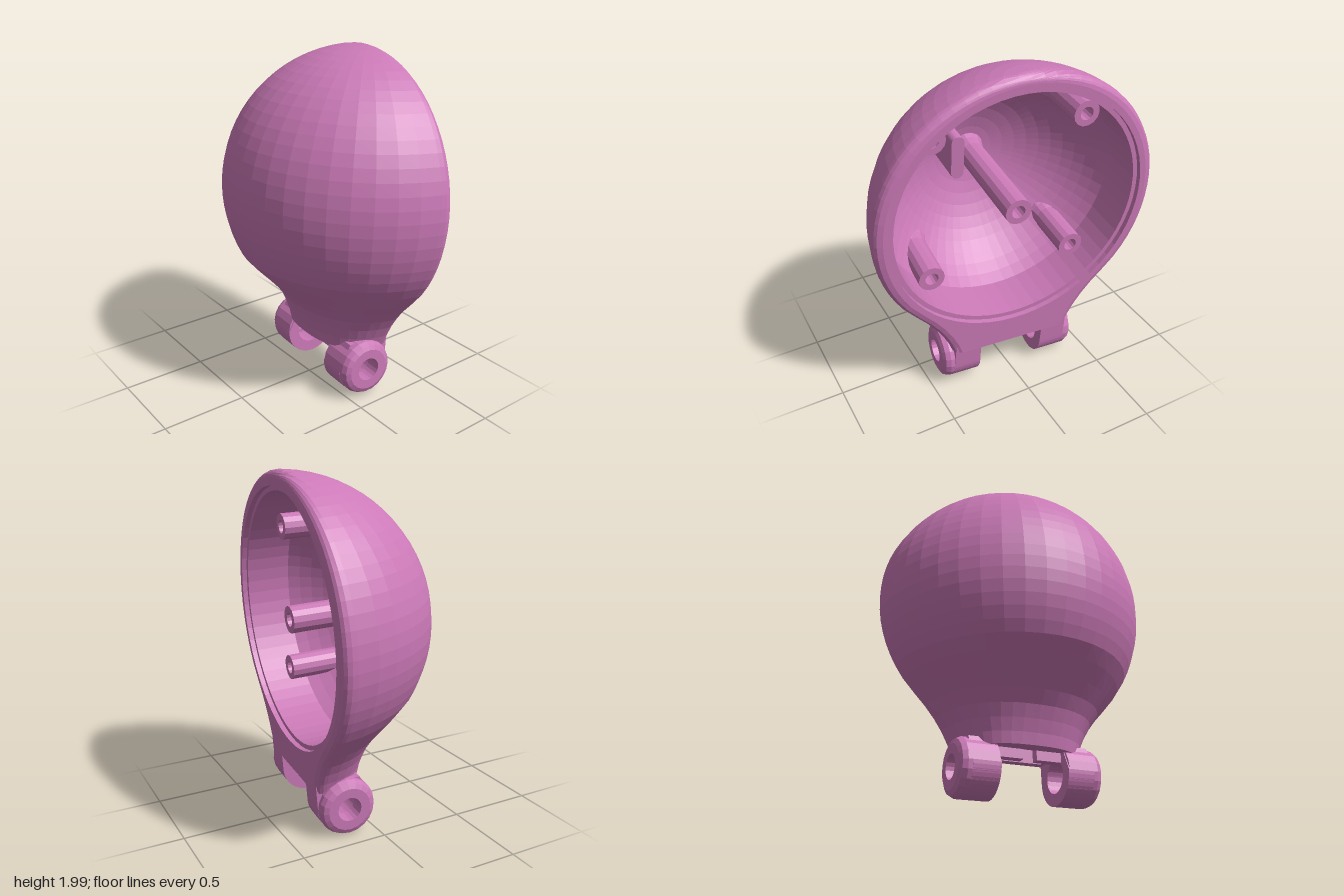
import * as THREE from 'three';

const R = 0.82, FILLET = 0.05, BOTTOM = -0.905, INNER = 0.768;
const pink = new THREE.MeshStandardMaterial({ color: 0xcc7ab8, flatShading: true, side: THREE.DoubleSide });
const pinkInside = new THREE.MeshStandardMaterial({ color: 0xcc7ab8, flatShading: true, side: THREE.BackSide });

function add(parent, name, geometry, material = pink) {
  const mesh = new THREE.Mesh(geometry, material);
  mesh.name = name;
  parent.add(mesh);
  return mesh;
}

// Horizontal sections of the dish and neck: height, half width, depth, squareness
function sectionList() {
  const rows = [{ y: R, w: 0, d: FILLET, e: 1, ny: 1 }];
  for (let a = 5; a <= 120; a += 5) {
    const t = THREE.MathUtils.degToRad(a), r = R * Math.sin(t);
    rows.push({ y: R * Math.cos(t), w: r, d: r, e: 1, ny: Math.cos(t) });
  }
  const neck = [[-0.48, 0.665, 0.645], [-0.56, 0.595, 0.56], [-0.63, 0.53, 0.49], [-0.7, 0.475, 0.435],
    [-0.77, 0.43, 0.4], [-0.84, 0.395, 0.372], [BOTTOM, 0.37, 0.355]];
  neck.forEach(([y, w, d], i) => rows.push({ y, w, d, e: 1 - 0.04 * i, ny: -0.6 * (1 - i / 6) }));
  return rows;
}

// One section, from the left rim around the back to the right rim, rim edge rounded
function sectionPoints({ y, w, d, e, ny }) {
  const half = [0, 0.012, 0.03, 0.06, 0.1];
  for (let k = 1; k <= 10; k++) half.push(0.1 + (Math.PI / 2 - 0.1) * k / 10);
  const angles = [...half, ...half.slice(0, -1).reverse().map(a => Math.PI - a)];
  return angles.map(a => {
    const c = Math.cos(a), s = Math.max(0, Math.sin(a));
    const x = -d * Math.pow(s < 1e-9 ? 0 : s, e);
    const z = w * Math.sign(c) * Math.pow(Math.abs(c), e);
    const k = Math.max(0, 1 + x / FILLET);
    const inset = FILLET * (1 - Math.sqrt(1 - k * k));
    const nz = Math.sqrt(Math.max(0, 1 - ny * ny)) * Math.sign(c);
    return new THREE.Vector3(x, y - inset * ny, z - inset * nz);
  });
}

function loft(rows) {
  const n = rows[0].length, index = [];
  for (let i = 0; i < rows.length - 1; i++)
    for (let j = 0; j < n - 1; j++) {
      const a = i * n + j, b = a + 1, c = a + n, d = c + 1;
      index.push(a, b, c, b, d, c);
    }
  const g = new THREE.BufferGeometry().setFromPoints(rows.flat());
  g.setIndex(index);
  g.computeVertexNormals();
  return g;
}

// Lathe whose axis lies along x; points are (radius, x)
function latheX(points, segments) {
  return new THREE.LatheGeometry(points.map(p => new THREE.Vector2(...p)), segments).rotateZ(-Math.PI / 2);
}

// Hollow screw post with a flared foot, its base trimmed to lie inside the wall
function post(parent, name, y, z, base, tip) {
  const r = 0.078, hole = 0.04, wall = INNER + 0.015;
  const g = latheX([[0, tip - 0.12], [hole, tip - 0.12], [hole, tip], [r, tip],
    [r, base + 0.1], [r + 0.012, base + 0.05], [r + 0.03, base]], 14).translate(0, y, z);
  const p = g.attributes.position;
  for (let i = 0; i < p.count; i++) {
    const limit = -Math.sqrt(wall * wall - p.getY(i) ** 2 - p.getZ(i) ** 2);
    p.setX(i, Math.max(p.getX(i), limit));
  }
  g.computeVertexNormals();
  add(parent, name, g);
}

// Hinge lug with web, ring and stepped bore; side is +1 or -1
function hingeLug(parent, side) {
  const cx = -0.175, cy = -1.011, r = 0.165;
  const lug = new THREE.Group();
  lug.name = side > 0 ? 'leftHingeLug' : 'rightHingeLug';
  const web = new THREE.Shape();
  web.moveTo(-0.005, -0.86);
  web.lineTo(cx + r, cy);
  web.absarc(cx, cy, r, 0, -Math.PI, true);
  web.lineTo(-0.27, -0.86);
  web.closePath();
  const bore = new THREE.Path();
  bore.absarc(cx, cy, 0.095, 0, Math.PI * 2, false);
  web.holes.push(bore);
  const webGeometry = new THREE.ExtrudeGeometry(web, { depth: 0.16, bevelEnabled: false, curveSegments: 12 });
  add(lug, 'hingeWeb', webGeometry).position.z = side > 0 ? 0.2 : -0.36;
  const ring = new THREE.LatheGeometry([[0.095, 0.205], [0.095, 0.33], [0.07, 0.33], [0.07, 0.425], [0.125, 0.425],
    [0.152, 0.412], [r, 0.385], [r, 0.205], [0.095, 0.205]].map(p => new THREE.Vector2(...p)), 20);
  ring.rotateX(side * Math.PI / 2);
  add(lug, 'hingeRing', ring).position.set(cx, cy, 0);
  parent.add(lug);
}

export function createModel() {
  const model = new THREE.Group();
  model.name = 'dishHousing';
  // Local frame: rim centre at the origin, opening towards +x
  const body = new THREE.Group();
  body.name = 'housing';
  body.rotation.set(-0.022, -0.075, -0.055);
  body.position.set(0.373, 1.181, 0.003);
  model.add(body);

  // Outer shell with neck
  const rows = sectionList().map(sectionPoints);
  add(body, 'outerShell', loft(rows));

  // Flat rim face around the round opening
  const last = rows[0].length - 1;
  const outline = [...rows.map(p => p[0]), ...rows.slice(1).reverse().map(p => p[last])];
  const face = new THREE.Shape(outline.map(p => new THREE.Vector2(-p.z, p.y)));
  const opening = new THREE.Path();
  opening.absarc(0, 0, 0.735, 0, Math.PI * 2, false);
  face.holes.push(opening);
  add(body, 'rimFace', new THREE.ShapeGeometry(face, 30).rotateY(Math.PI / 2));

  // Stepped lip, straight wall and domed interior
  const cavity = [[0.735, 0], [0.735, -0.03], [0.708, -0.03]];
  const start = Math.acos(0.708 / INNER);
  for (let k = 0; k <= 12; k++) {
    const a = start + (Math.PI / 2 - start) * k / 12;
    cavity.push([Math.max(0, INNER * Math.cos(a)), -INNER * Math.sin(a)]);
  }
  add(body, 'cavity', latheX(cavity, 60));

  // Underside of the neck with a pocket between the lugs
  const underside = new THREE.Shape(rows[rows.length - 1].map(p => new THREE.Vector2(p.x, p.z)));
  const slot = new THREE.Path();
  slot.moveTo(-0.27, -0.18).lineTo(-0.05, -0.18).lineTo(-0.05, 0.18).lineTo(-0.27, 0.18).closePath();
  underside.holes.push(slot);
  add(body, 'neckUnderside', new THREE.ShapeGeometry(underside).rotateX(Math.PI / 2)).position.y = BOTTOM;
  add(body, 'neckPocket', new THREE.BoxGeometry(0.22, 0.1, 0.36), pinkInside).position.set(-0.16, BOTTOM + 0.05, 0);
  for (const side of [1, -1]) {
    add(body, 'pocketTab', new THREE.BoxGeometry(0.05, 0.12, 0.15)).position.set(-0.25, BOTTOM + 0.005, side * 0.115);
    hingeLug(body, side);
    // Screw posts near the rim
    post(body, 'upperPost', 0.445, side * 0.445, -0.58, -0.18);
    post(body, 'lowerPost', -0.445, side * 0.445, -0.58, -0.18);
  }
  post(body, 'centrePost', 0, 0, -0.78, -0.04);

  // Rounded rib beside the centre post
  const rib = new THREE.Shape();
  rib.absarc(0, 0.095, 0.038, 0, Math.PI, false);
  rib.absarc(0, -0.095, 0.038, Math.PI, Math.PI * 2, false);
  rib.closePath();
  const ribGeometry = new THREE.ExtrudeGeometry(rib, { depth: 0.3, bevelEnabled: false, curveSegments: 6 });
  add(body, 'rib', ribGeometry.rotateY(Math.PI / 2)).position.set(-0.73, 0.155, 0.198);
  return model;
}
